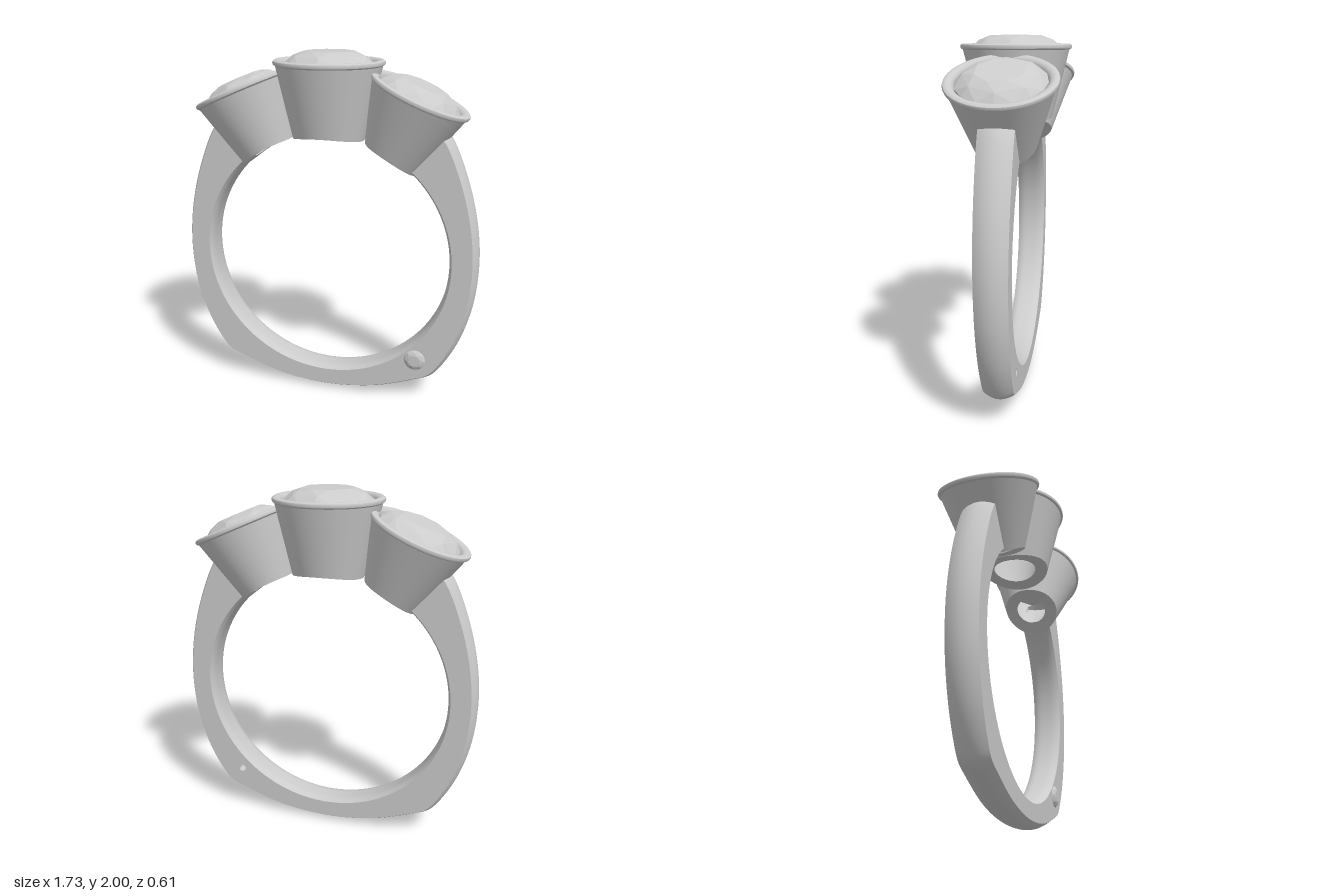
import * as THREE from 'three';
import { toCreasedNormals } from 'three/addons/utils/BufferGeometryUtils.js';
import { ConvexGeometry } from 'three/addons/geometries/ConvexGeometry.js';

const metal = new THREE.MeshStandardMaterial({ color: 0xcccccc, side: THREE.DoubleSide });
const facet = new THREE.MeshStandardMaterial({ color: 0xcccccc, flatShading: true });

const HOLE_Y = 0.85, HOLE_R = 0.705;      // finger hole
const GEM_X = 0.54, GEM_Y = 0.27;         // small gem set in the band
const halfWidth = (y) => 0.08 + 0.0065 * y; // band narrows towards the bottom

function add(parent, name, geometry, material = metal) {
  const mesh = new THREE.Mesh(geometry, material);
  mesh.name = name;
  parent.add(mesh);
  return mesh;
}

// Outer outline of the band, right top -> bottom -> left top
function bandSamples() {
  const half = [[0.62, 1.645], [0.69, 1.55], [0.785, 1.32], [0.845, 1.08], [0.865, 0.85], [0.842, 0.6],
    [0.775, 0.38], [0.685, 0.215], [0.635, 0.158], [0.54, 0.115], [0.3, 0.035]];
  const pts = [...half, [0, 0.002], ...half.slice().reverse().map(([x, y]) => [-x, y])];
  const curve = new THREE.CatmullRomCurve3(pts.map(([x, y]) => new THREE.Vector3(x, y, 0)));
  return curve.getPoints(200).map((p) => {
    const dir = new THREE.Vector2(p.x, p.y - HOLE_Y);
    const outer = dir.length();
    return { dir: dir.normalize(), outer };
  });
}

const at = (s, r) => new THREE.Vector2(s.dir.x * r, HOLE_Y + s.dir.y * r);
const outerRadius = (s, w) => s.outer - 0.03 * w * w;
const innerRadius = (s, w) => HOLE_R + 0.018 * w ** 4;

// Curved strip running round the band, either the domed outside or the rounded inside
function bandStrip(samples, radius, flip) {
  const n = 12, pos = [], idx = [];
  samples.forEach((s, i) => {
    for (let j = 0; j <= n; j++) {
      const w = 1 - (2 * j) / n;
      const p = at(s, radius(s, w));
      pos.push(p.x, p.y, w * halfWidth(at(s, radius(s, 1)).y));
      if (i === samples.length - 1 || j === n) continue;
      const a = i * (n + 1) + j, b = a + 1, c = a + n + 1, d = c + 1;
      idx.push(...(flip ? [a, b, c, b, d, c] : [a, c, b, b, c, d]));
    }
  });
  const geo = new THREE.BufferGeometry();
  geo.setAttribute('position', new THREE.Float32BufferAttribute(pos, 3));
  geo.setIndex(idx);
  geo.computeVertexNormals();
  return geo;
}

// Flat side of the band with a round opening for the small gem
function bandSide(samples, sign, openingRadius) {
  const shape = new THREE.Shape([
    ...samples.map((s) => at(s, outerRadius(s, 1))),
    ...samples.map((s) => at(s, innerRadius(s, 1))).reverse(),
  ]);
  const opening = new THREE.Path();
  opening.absarc(GEM_X, GEM_Y, openingRadius, 0, Math.PI * 2, true);
  shape.holes.push(opening);
  const geo = new THREE.ShapeGeometry(shape, 16);
  const p = geo.attributes.position;
  for (let i = 0; i < p.count; i++) p.setZ(i, sign * halfWidth(p.getY(i)));
  if (sign < 0) geo.index.array.reverse();
  geo.computeVertexNormals();
  return geo;
}

// Round faceted stone, girdle radius 1
function stoneGeometry() {
  const pts = [];
  const ring = (n, r, y, turn) => {
    for (let k = 0; k < n; k++) {
      const a = ((k + turn) / n) * Math.PI * 2;
      pts.push(new THREE.Vector3(r * Math.cos(a), y, r * Math.sin(a)));
    }
  };
  ring(8, 0.56, 0.3, 0.5);
  ring(8, 0.82, 0.2, 0);
  ring(16, 1, 0.03, 0);
  ring(16, 1, -0.03, 0);
  ring(8, 0.5, -0.4, 0.5);
  pts.push(new THREE.Vector3(0, -0.72, 0));
  return new ConvexGeometry(pts);
}

// Tapered cup whose foot is trimmed to the finger hole, holding a stone
function setting(name, x, y, tilt, rim, foot, bore, depth) {
  const group = new THREE.Group();
  group.name = name;
  group.position.set(x, y, 0);
  group.rotation.z = -tilt;

  const mid = (foot + bore) / 2;
  const profile = [
    [bore, -depth], [mid, -depth], [foot, -depth], [rim - 0.014, -0.032], [rim - 0.003, -0.025],
    [rim, -0.015], [rim - 0.003, -0.006], [rim - 0.012, 0], [rim - 0.026, 0], [rim - 0.041, -0.005],
    [rim - 0.051, -0.015], [rim - 0.056, -0.03], [rim - 0.06, -0.055], [bore, -depth],
  ].map(([r, h]) => new THREE.Vector2(r, h));
  const geo = new THREE.LatheGeometry(profile, 72);
  const c = new THREE.Vector2(-x, HOLE_Y - y).rotateAround(new THREE.Vector2(), tilt);
  const p = geo.attributes.position;
  for (let i = 0; i < p.count; i++) {
    if (p.getY(i) > -depth + 0.001) continue;
    const dx = p.getX(i) - c.x;
    p.setY(i, c.y + Math.sqrt(HOLE_R * HOLE_R - dx * dx));
  }
  add(group, 'bezel', toCreasedNormals(geo, 0.65));

  const stone = add(group, 'stone', stoneGeometry(), facet);
  const r = rim - 0.055;
  stone.scale.setScalar(r);
  stone.position.y = 0.045 - 0.3 * r;
  return group;
}

export function createModel() {
  const model = new THREE.Group();
  model.name = 'ring';

  // Band
  const band = new THREE.Group();
  band.name = 'band';
  const samples = bandSamples();
  add(band, 'bandOutside', bandStrip(samples, outerRadius, false));
  add(band, 'bandInside', bandStrip(samples, innerRadius, true));
  add(band, 'bandFront', bandSide(samples, 1, 0.06));
  add(band, 'bandBack', bandSide(samples, -1, 0.022));
  model.add(band);

  // Small gem in the front of the band, with its drilled hole at the back
  const gem = add(model, 'smallGem', stoneGeometry(), facet);
  gem.scale.setScalar(0.063);
  gem.rotation.x = Math.PI / 2;
  gem.position.set(GEM_X, GEM_Y, 0.08);
  const drill = add(model, 'drilledHole', new THREE.CylinderGeometry(0.022, 0.022, 0.13, 24, 1, true));
  drill.rotation.x = Math.PI / 2;
  drill.position.set(GEM_X, GEM_Y, -0.0165);

  // Three settings
  model.add(setting('centreSetting', 0, 1.955, 0, 0.305, 0.2, 0.125, 0.42));
  for (const side of [-1, 1]) {
    model.add(setting(side > 0 ? 'leftSetting' : 'rightSetting',
      side * 0.507, 1.795, side * 0.41, 0.288, 0.165, 0.09, 0.39));
  }
  return model;
}
